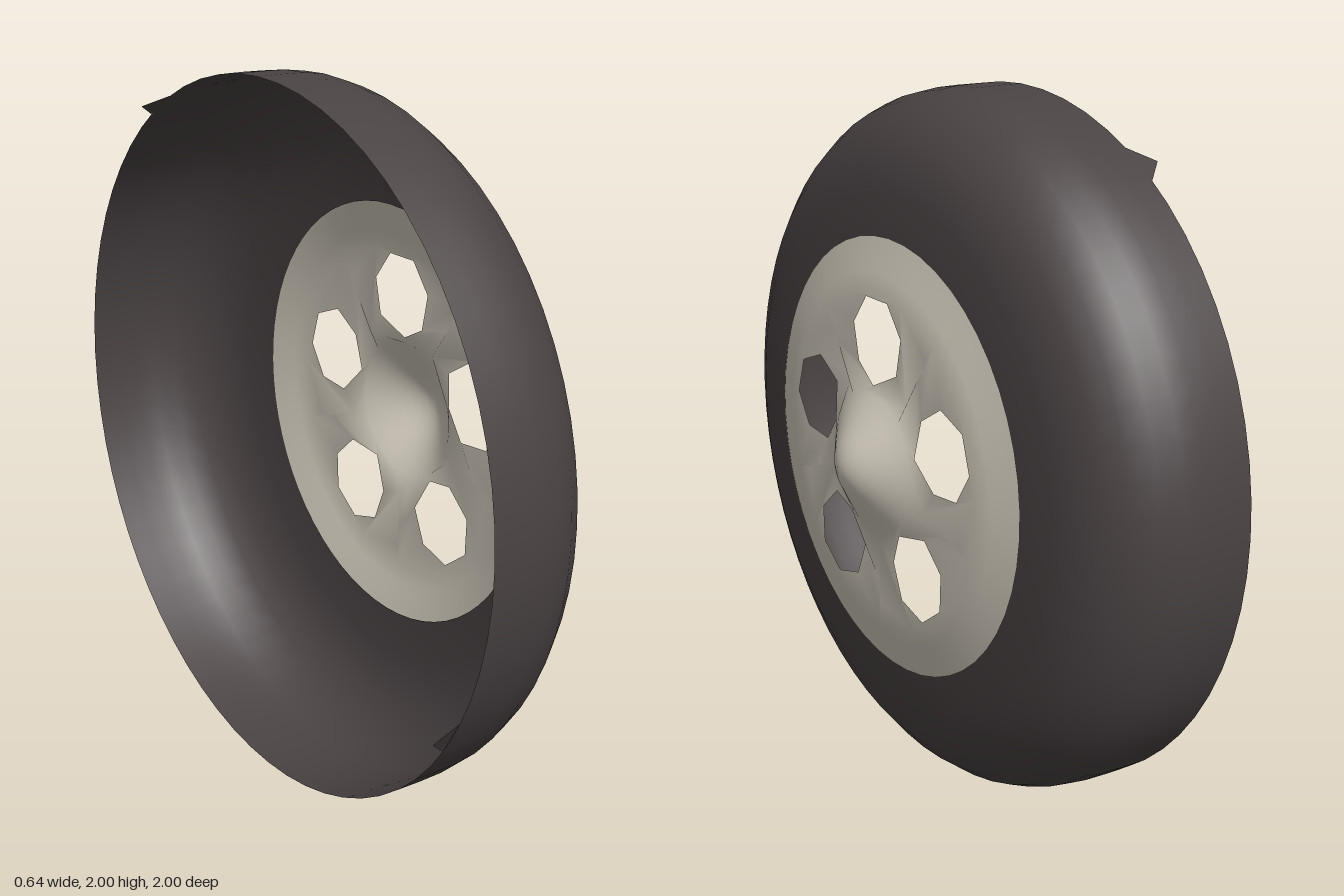
import * as THREE from 'three';

// Dish height along the axle as a function of radius
const DISH = [[0, 0.32], [0.03, 0.316], [0.07, 0.3], [0.2, 0.222], [0.25, 0.2], [0.48, 0.2], [0.55, 0.18], [0.62, 0.16], [0.7, 0.14]];

function dishHeight(r) {
  for (let i = 1; i < DISH.length; i++) {
    const [r0, h0] = DISH[i - 1], [r1, h1] = DISH[i];
    if (r <= r1) return h0 + (h1 - h0) * (r - r0) / (r1 - r0);
  }
  return DISH[DISH.length - 1][1];
}

// Press a flat geometry into the dish and give it smooth normals
function press(geo) {
  const p = geo.attributes.position, n = geo.attributes.normal;
  const v = new THREE.Vector3(), e = 0.035;
  for (let i = 0; i < p.count; i++) {
    const x = p.getX(i), y = p.getY(i), r = Math.hypot(x, y);
    p.setZ(i, dishHeight(r));
    const slope = (dishHeight(r + e) - dishHeight(Math.abs(r - e))) / (2 * e);
    const k = r > 1e-5 ? -slope / r : 0;
    v.set(x * k, y * k, 1).normalize();
    n.setXYZ(i, v.x, v.y, v.z);
  }
  return geo;
}

const polar = (r, a) => new THREE.Vector2(r * Math.cos(a), r * Math.sin(a));

// One fifth of the dish face, centred on +y, with a seven-sided hole
function sectorGeometry() {
  const a0 = Math.PI * 0.3, a1 = Math.PI * 0.7, steps = 10, pts = [];
  const radii = [0.25, 0.3, 0.36, 0.42];
  for (let i = 0; i <= steps; i++) pts.push(polar(0.48, a0 + (a1 - a0) * i / steps));
  for (const r of [...radii].reverse()) pts.push(polar(r, a1));
  for (let i = steps; i >= 0; i--) pts.push(polar(0.2, a0 + (a1 - a0) * i / steps));
  for (const r of radii) pts.push(polar(r, a0));
  const shape = new THREE.Shape(pts);
  const hole = [];
  for (let i = 0; i < 7; i++) {
    hole.push(polar(0.125, -Math.PI / 2 - i * Math.PI * 2 / 7).add(new THREE.Vector2(0, 0.345)));
  }
  shape.holes.push(new THREE.Path(hole));
  return press(new THREE.ShapeGeometry(shape));
}

export function createModel() {
  const rubber = new THREE.MeshStandardMaterial({ color: 0x4a4344, side: THREE.DoubleSide });
  rubber.name = 'dark rubber';
  const cream = new THREE.MeshStandardMaterial({ color: 0xd5cfc0, side: THREE.DoubleSide });
  cream.name = 'cream metal';

  // The wheel is built around z, then turned so its outer face looks along +x
  const wheel = new THREE.Group();
  wheel.name = 'wheel';
  wheel.rotation.y = Math.PI / 2;
  wheel.position.y = 1;
  const add = (name, geo, mat) => {
    const mesh = new THREE.Mesh(geo, mat);
    mesh.name = name;
    wheel.add(mesh);
    return mesh;
  };

  // Open tyre shell
  const profile = [[1, -0.265], [1, -0.19], [0.998, -0.12], [0.99, -0.06], [0.967, 0], [0.925, 0.055],
    [0.87, 0.1], [0.8, 0.132], [0.73, 0.144], [0.66, 0.154], [0.613, 0.158]];
  const tyre = new THREE.LatheGeometry(profile.map(([r, h]) => new THREE.Vector2(r, h)), 64);
  add('tyre', tyre.rotateX(Math.PI / 2), rubber);

  // Pointed tabs on the open edge of the tyre
  [Math.atan2(0.86, 0.52), Math.atan2(-0.51, -0.85)].forEach((a, i) => {
    const left = polar(1, a + 0.065), right = polar(1, a - 0.065), tip = polar(1, a);
    const geo = new THREE.BufferGeometry().setFromPoints([
      new THREE.Vector3(left.x, left.y, -0.265),
      new THREE.Vector3(tip.x, tip.y, -0.325),
      new THREE.Vector3(right.x, right.y, -0.265),
    ]);
    geo.setIndex([0, 1, 2]);
    geo.computeVertexNormals();
    add('edgeTab' + (i + 1), geo, rubber);
  });

  // Dish: sloping rim, five holed sectors and the hub cone
  const start = Math.PI * 0.3;
  add('dishRim', press(new THREE.RingGeometry(0.48, 0.62, 50, 3, start)), cream);
  const sector = sectorGeometry();
  for (let i = 0; i < 5; i++) {
    add('dishSector' + (i + 1), sector, cream).rotation.z = i * Math.PI * 2 / 5;
  }
  add('hubCone', press(new THREE.RingGeometry(0, 0.2, 50, 8, start)), cream);

  const model = new THREE.Group();
  model.name = 'wheelModel';
  model.add(wheel);
  return model;
}
